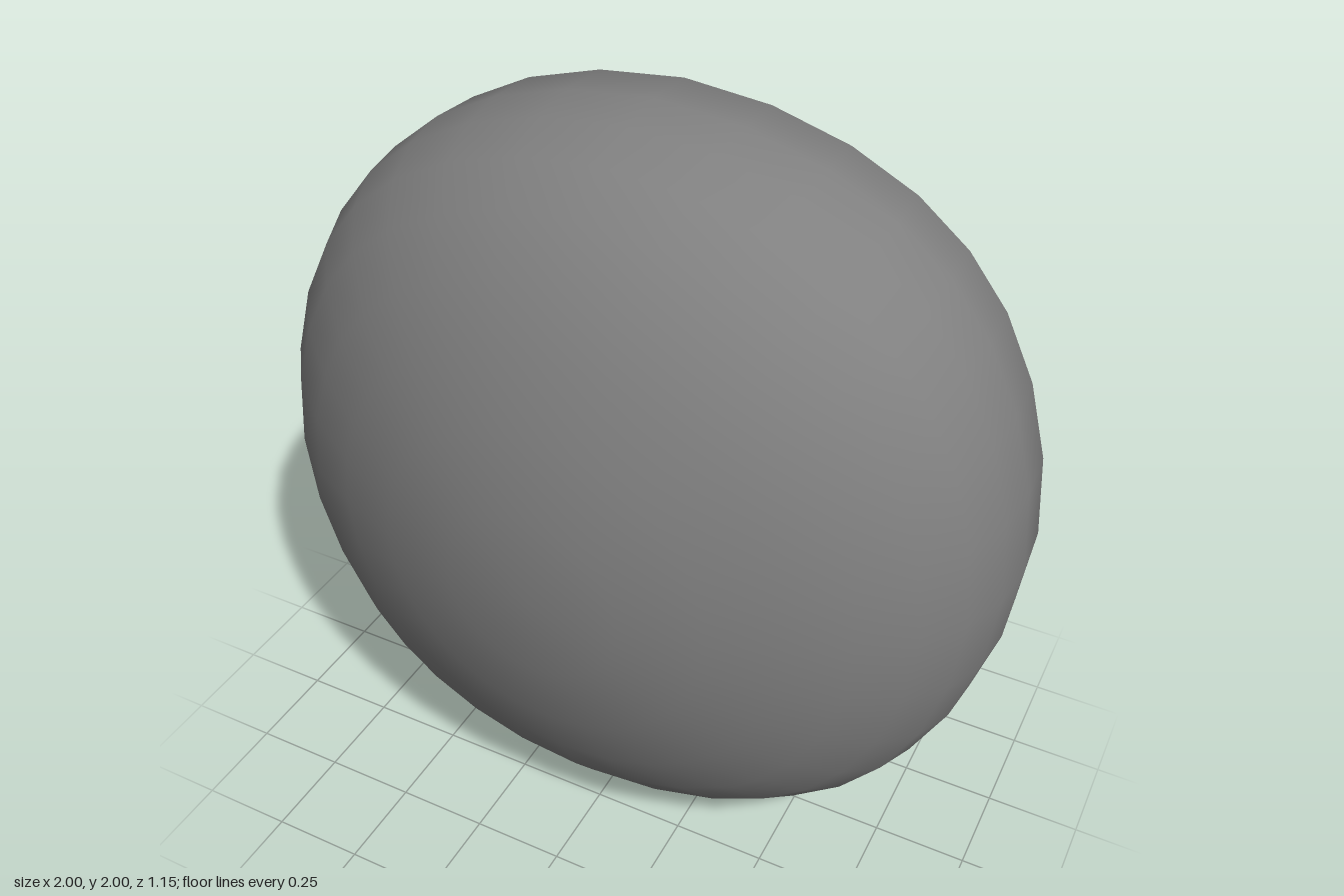
import * as THREE from 'three';

const COUNT = 32; // segments around each ring

// Point on a rounded square: r = reach at the middle of a side, k = extra reach at the corners
function ringPoint(r, k, z, index) {
  const t = ((index % 8) / 8) * 2 - 1;
  const angle = (Math.PI / 4) * (t * (1.2 - 0.2 * Math.abs(t)) + 2 * Math.floor(index / 8));
  const reach = r * (1 + k * Math.abs(Math.sin(2 * angle)) ** 3);
  return [reach * Math.cos(angle), reach * Math.sin(angle), z];
}

// Skin a list of [z, reach, corner factor] rings, front to back, left open at the back
function skinRings(frontZ, rings) {
  const positions = [0, 0, frontZ];
  const indices = [];
  rings.forEach(([z, r, k], i) => {
    const start = 1 + i * COUNT;
    for (let j = 0; j < COUNT; j++) {
      positions.push(...ringPoint(r, k, z, j));
      const c = start + j, d = start + ((j + 1) % COUNT);
      if (i === 0) {
        indices.push(0, c, d);
      } else {
        const a = c - COUNT, b = d - COUNT;
        indices.push(a, c, d, a, d, b);
      }
    }
  });
  const geometry = new THREE.BufferGeometry();
  geometry.setAttribute('position', new THREE.Float32BufferAttribute(positions, 3));
  geometry.setIndex(indices);
  geometry.computeVertexNormals();

  // Carry the shoulder's soft shading over the two neck rings
  const normals = geometry.attributes.normal;
  const neckStart = 1 + (rings.length - 2) * COUNT;
  for (let v = neckStart; v < normals.count; v++) {
    const from = v - COUNT;
    normals.setXYZ(v, normals.getX(from), normals.getY(from), normals.getZ(from));
  }
  return geometry;
}

export function createModel() {
  const group = new THREE.Group();
  group.name = 'hollowDome';
  const material = new THREE.MeshStandardMaterial({ color: 0x808080, side: THREE.DoubleSide });

  const rings = [
    // domed front
    [0.56, 0.23, 0], [0.515, 0.43, 0.005], [0.45, 0.6, 0.01], [0.38, 0.74, 0.015],
    [0.285, 0.86, 0.02], [0.18, 0.94, 0.025], [0.06, 0.985, 0.027], [-0.07, 1, 0.028],
    // rounded shoulder
    [-0.225, 0.99, 0.028], [-0.335, 0.89, 0.05],
    // squarer neck around the open back
    [-0.37, 0.745, 0.115], [-0.575, 0.7, 0.125],
  ];
  const shell = new THREE.Mesh(skinRings(0.575, rings), material);
  shell.name = 'domeShell';
  shell.position.y = 1;
  group.add(shell);
  return group;
}
